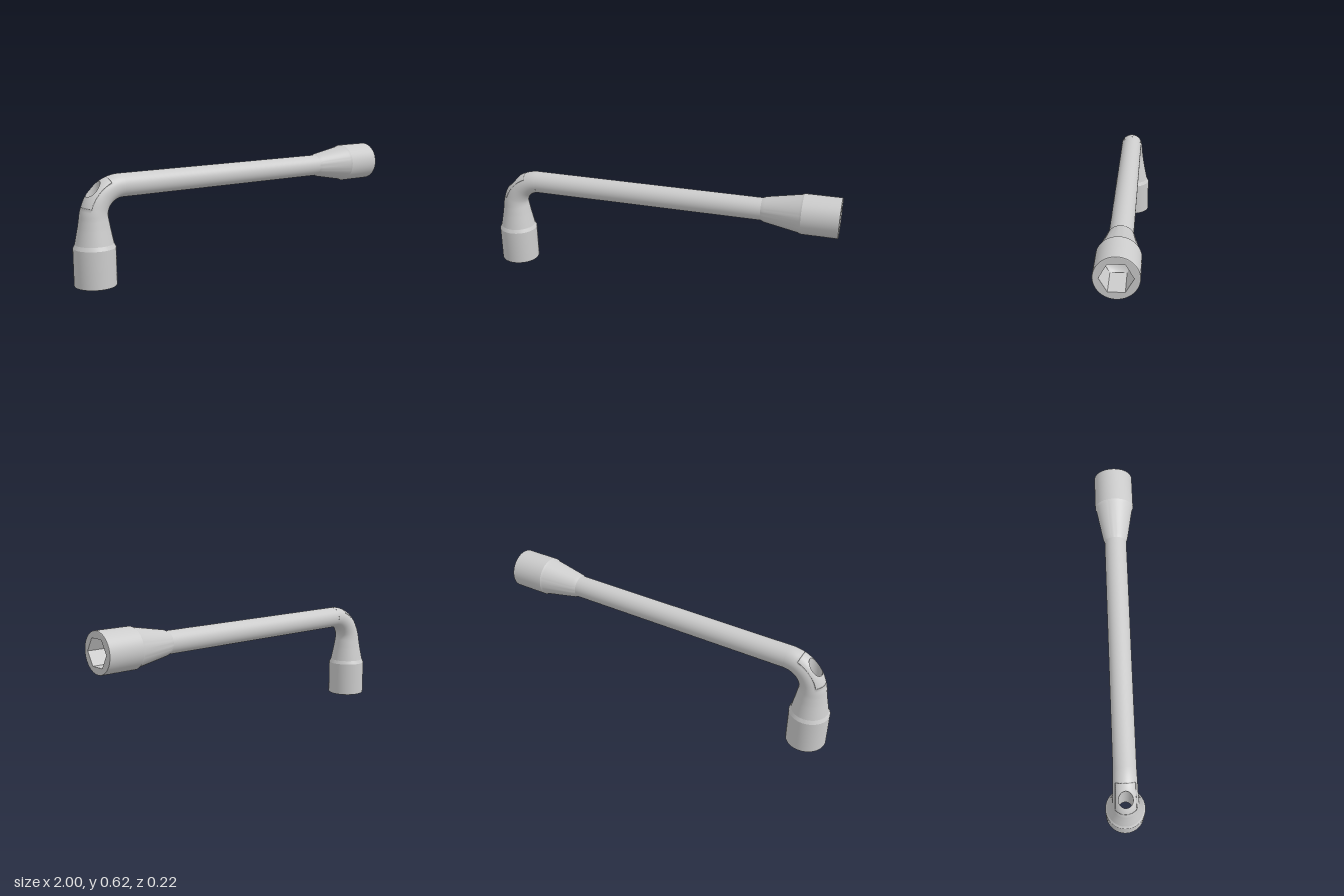
import * as THREE from 'three';
import { mergeVertices, toCreasedNormals } from 'three/addons/utils/BufferGeometryUtils.js';

const material = new THREE.MeshStandardMaterial({ color: 0xcccccc, side: THREE.DoubleSide });
const flatMaterial = new THREE.MeshStandardMaterial({ color: 0xcccccc, side: THREE.DoubleSide, flatShading: true });

const SOCKET_X = -0.89, HANDLE_Y = 0.506, HANDLE_R = 0.062;
const HEX_R = 0.081, HEX_DEPTH = 0.18, BORE_R = 0.038;
const ELBOW_Y = 0.22, STRAIGHT = 0.13, BEND_R = 0.156;
const ELBOW_LENGTH = STRAIGHT + BEND_R * Math.PI / 2;

function mesh(name, geometry, mat = material) {
  const m = new THREE.Mesh(geometry, mat);
  m.name = name;
  return m;
}

function lathe(points) {
  const g = new THREE.LatheGeometry(points.map(([r, y]) => new THREE.Vector2(r, y)), 64);
  return toCreasedNormals(g, 0.35);
}

function hexPoints() {
  return Array.from({ length: 6 }, (_, i) => {
    const a = Math.PI / 2 + i * Math.PI / 3;
    return new THREE.Vector2(HEX_R * Math.cos(a), HEX_R * Math.sin(a));
  });
}

// Socket head opening at y = 0, with its shaft end towards +y
function createSocket(name, profile, throughBore) {
  const socket = new THREE.Group();
  socket.name = name;
  socket.add(mesh('socketShell', lathe([[0.105, 0], [0.1085, 0.0015], [0.11, 0.005], ...profile])));

  const rim = new THREE.Shape().absarc(0, 0, 0.105, 0, Math.PI * 2);
  rim.holes.push(new THREE.Path(hexPoints()));
  socket.add(mesh('socketRim', new THREE.ShapeGeometry(rim, 32).rotateX(Math.PI / 2)));

  const walls = new THREE.CylinderGeometry(HEX_R, HEX_R, HEX_DEPTH, 6, 1, true);
  socket.add(mesh('hexWalls', walls.translate(0, HEX_DEPTH / 2, 0), flatMaterial));

  let floor;
  if (throughBore) {
    const shape = new THREE.Shape(hexPoints());
    shape.holes.push(new THREE.Path().absarc(0, 0, BORE_R, 0, Math.PI * 2));
    floor = new THREE.ShapeGeometry(shape, 32).rotateX(Math.PI / 2);
  } else {
    floor = new THREE.SphereGeometry(HEX_R, 32, 10, 0, Math.PI * 2, 0, Math.PI / 2).scale(1, 0.5, 1);
  }
  socket.add(mesh('hexFloor', floor.translate(0, HEX_DEPTH, 0)));
  return socket;
}

// Elbow radius at distance d along its centre line
const RADII = [[0, 0.1], [0.04, 0.092], [0.08, 0.084], [0.13, 0.0755], [0.18, 0.07], [0.25, 0.066], [0.38, HANDLE_R]];
function elbowRadius(d) {
  let i = 0;
  while (i < RADII.length - 2 && d > RADII[i + 1][0]) i++;
  const [d0, r0] = RADII[i], [d1, r1] = RADII[i + 1];
  return THREE.MathUtils.mapLinear(d, d0, d1, r0, r1);
}

// Point on the elbow skin; theta = 0 is the outside of the bend
function elbowPoint(d, theta) {
  const a = Math.max(0, (d - STRAIGHT) / BEND_R);
  const r = elbowRadius(d), reach = BEND_R + r * Math.cos(theta);
  return new THREE.Vector3(
    SOCKET_X + BEND_R - Math.cos(a) * reach,
    ELBOW_Y + Math.min(d, STRAIGHT) + Math.sin(a) * reach,
    r * Math.sin(theta));
}

// Where the vertical bore meets the elbow skin, as [d, theta]
function boreEdge(phi) {
  const x = SOCKET_X + BORE_R * Math.cos(phi), z = BORE_R * Math.sin(phi);
  let lo = STRAIGHT, hi = ELBOW_LENGTH;
  for (let k = 0; k < 40; k++) {
    const mid = (lo + hi) / 2;
    if (elbowPoint(mid, Math.asin(z / elbowRadius(mid))).x < x) lo = mid;
    else hi = mid;
  }
  return [lo, Math.asin(z / elbowRadius(lo))];
}

function fromTriangles(positions) {
  const g = new THREE.BufferGeometry();
  g.setAttribute('position', new THREE.Float32BufferAttribute(positions, 3));
  const merged = mergeVertices(g, 1e-5);
  merged.computeVertexNormals();
  return merged;
}

function createElbow() {
  const elbow = new THREE.Group();
  elbow.name = 'elbow';
  const ROWS = 40, COLS = 64, I0 = 18, I1 = 34, J = 10, RINGS = 6;
  const param = (i, j) => [i * ELBOW_LENGTH / ROWS, j * Math.PI * 2 / COLS];
  const skin = [], bore = [];
  const quad = (out, a, b, c, d) => [a, b, c, a, c, d].forEach(p => out.push(p.x, p.y, p.z));
  const at = p => elbowPoint(p[0], p[1]);

  // Regular skin, leaving a patch open around the bore
  for (let i = 0; i < ROWS; i++) {
    for (let j = -COLS / 2; j < COLS / 2; j++) {
      if (i >= I0 && i < I1 && j >= -J && j < J) continue;
      quad(skin, at(param(i, j)), at(param(i, j + 1)), at(param(i + 1, j + 1)), at(param(i + 1, j)));
    }
  }

  // Patch border, walked once around
  const border = [];
  for (let j = -J; j < J; j++) border.push([I1, j]);
  for (let i = I1; i > I0; i--) border.push([i, J]);
  for (let j = J; j > -J; j--) border.push([I0, j]);
  for (let i = I0; i < I1; i++) border.push([i, -J]);

  // Rings from the border in to the bore, then the bore wall down to the socket
  const spokes = border.map(([i, j]) => {
    const outer = param(i, j);
    const inner = boreEdge(Math.atan2(j / J, (i - (I0 + I1) / 2) / ((I1 - I0) / 2)));
    return Array.from({ length: RINGS + 1 }, (_, k) =>
      elbowPoint(...outer.map((v, n) => THREE.MathUtils.lerp(v, inner[n], k / RINGS))));
  });
  spokes.forEach((s, n) => {
    const t = spokes[(n + 1) % spokes.length];
    for (let k = 0; k < RINGS; k++) quad(skin, s[k], t[k], t[k + 1], s[k + 1]);
    const a = s[RINGS], b = t[RINGS];
    quad(bore, a, b, b.clone().setY(HEX_DEPTH), a.clone().setY(HEX_DEPTH));
  });
  elbow.add(mesh('elbowSkin', fromTriangles(skin)), mesh('boreWall', fromTriangles(bore)));
  return elbow;
}

export function createModel() {
  const model = new THREE.Group();
  model.name = 'angledSocketWrench';

  const lower = createSocket('lowerSocket', [[0.11, 0.2], [0.1, ELBOW_Y]], true);
  lower.position.x = SOCKET_X;

  const end = createSocket('endSocket',
    [[0.11, 0.2], [0.104, 0.212], [0.07, 0.4], [HANDLE_R, 0.42]], false);
  end.rotation.z = Math.PI / 2;
  end.position.set(1, HANDLE_Y, 0);

  // Straight handle between the elbow and the end socket
  const x0 = SOCKET_X + BEND_R, x1 = 0.58;
  const handle = mesh('handle', new THREE.CylinderGeometry(HANDLE_R, HANDLE_R, x1 - x0, 64, 1, true));
  handle.rotation.z = Math.PI / 2;
  handle.position.set((x0 + x1) / 2, HANDLE_Y, 0);

  model.add(lower, createElbow(), handle, end);
  return model;
}
